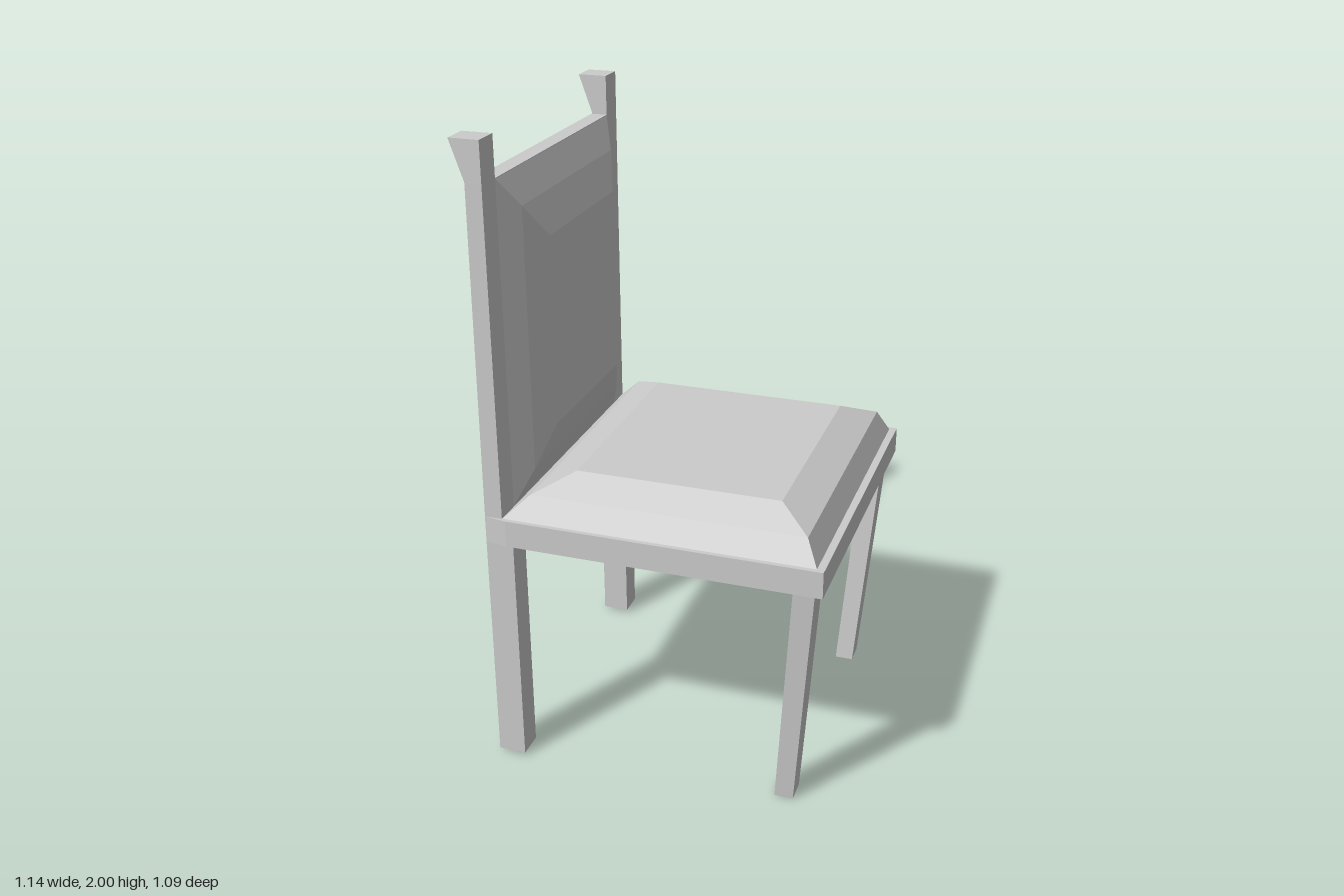
import * as THREE from 'three';

const material = new THREE.MeshStandardMaterial({ color: 0xcccccc, flatShading: true });

// Skin a solid through matching convex rings of [x, y, z] points, with both ends capped
function loft(name, rings) {
  const pos = [];
  const tri = (a, b, c) => pos.push(...a, ...b, ...c);
  const n = rings[0].length;
  for (let k = 0; k < rings.length - 1; k++) {
    for (let i = 0; i < n; i++) {
      const j = (i + 1) % n;
      tri(rings[k][i], rings[k][j], rings[k + 1][j]);
      tri(rings[k][i], rings[k + 1][j], rings[k + 1][i]);
    }
  }
  const first = rings[0], last = rings[rings.length - 1];
  for (let i = 1; i < n - 1; i++) {
    tri(first[0], first[i + 1], first[i]);
    tri(last[0], last[i], last[i + 1]);
  }
  const geometry = new THREE.BufferGeometry();
  geometry.setAttribute('position', new THREE.Float32BufferAttribute(pos, 3));
  geometry.computeVertexNormals();
  const mesh = new THREE.Mesh(geometry, material);
  mesh.name = name;
  return mesh;
}

// Horizontal rectangle at height y
const flat = (y, x0, x1, z0, z1) => [[x0, y, z0], [x0, y, z1], [x1, y, z1], [x1, y, z0]];
// Upright rectangle at depth x
const upright = (x, y0, y1, w) => [[x, y0, w], [x, y0, -w], [x, y1, -w], [x, y1, w]];

export function createModel() {
  const chair = new THREE.Group();
  chair.name = 'chair';

  // Seat slab, narrowing slightly at the back corners
  const outline = y => [
    [-0.508, y, -0.505], [-0.508, y, 0.505], [-0.437, y, 0.517],
    [0.541, y, 0.518], [0.541, y, -0.518], [-0.437, y, -0.517],
  ];
  chair.add(loft('seatFrame', [outline(0.77), outline(0.855)]));

  // Padded seat with two bevels
  chair.add(loft('seatCushion', [
    flat(0.855, -0.452, 0.518, -0.503, 0.503),
    flat(0.93, -0.373, 0.48, -0.465, 0.465),
    flat(0.98, -0.263, 0.376, -0.363, 0.363),
  ]));

  // Backrest board and its padding
  chair.add(loft('backPanel', [upright(-0.505, 0.77, 1.875, 0.422), upright(-0.452, 0.77, 1.875, 0.422)]));
  chair.add(loft('backCushion', [
    upright(-0.453, 0.855, 1.875, 0.421),
    upright(-0.41, 0.955, 1.78, 0.345),
    upright(-0.37, 1.075, 1.67, 0.25),
  ]));

  // Legs and posts, mirrored across the chair
  for (const s of [-1, 1]) {
    const side = s > 0 ? 'Right' : 'Left';
    const ring = (y, x0, x1, a, b) => flat(y, x0, x1, s > 0 ? a : -b, s > 0 ? b : -a);
    chair.add(loft('frontLeg' + side, [
      ring(0, 0.397, 0.456, 0.372, 0.446),
      ring(0.77, 0.451, 0.516, 0.418, 0.508),
    ]));
    chair.add(loft('backLeg' + side, [
      ring(0.01, -0.508, -0.42, 0.42, 0.505),
      ring(0.77, -0.508, -0.42, 0.42, 0.505),
    ]));
    // Post flares backwards at its top
    chair.add(loft('backPost' + side, [
      ring(0.77, -0.508, -0.452, 0.42, 0.505),
      ring(1.88, -0.503, -0.452, 0.42, 0.505),
      ring(2, -0.545, -0.452, 0.42, 0.505),
    ]));
  }

  // The chair stands turned a few degrees
  chair.rotation.y = -0.0593;
  const model = new THREE.Group();
  model.name = 'model';
  model.add(chair);
  return model;
}
